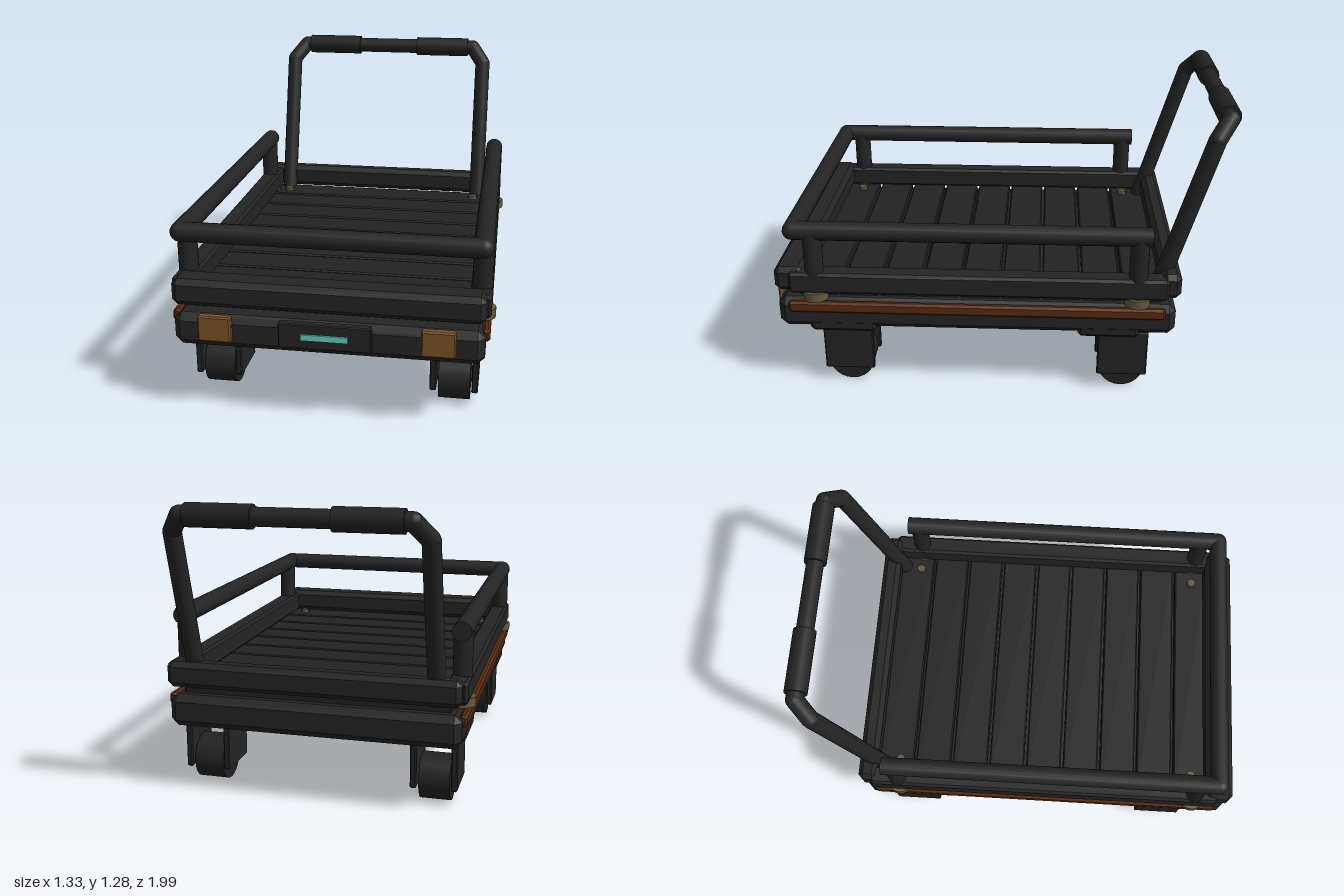
import * as THREE from 'three';
import { ConvexGeometry } from 'three/addons/geometries/ConvexGeometry.js';

const mat = (name, color) => {
  const m = new THREE.MeshStandardMaterial({ color });
  m.name = name;
  return m;
};

// Box with chamfered edges and corners
function chamferBox(w, h, d, b) {
  const pts = [];
  for (const x of [-1, 1]) for (const y of [-1, 1]) for (const z of [-1, 1]) {
    const X = w / 2, Y = h / 2, Z = d / 2;
    pts.push(
      new THREE.Vector3(x * X, y * (Y - b), z * (Z - b)),
      new THREE.Vector3(x * (X - b), y * Y, z * (Z - b)),
      new THREE.Vector3(x * (X - b), y * (Y - b), z * Z));
  }
  return new ConvexGeometry(pts);
}

export function createModel() {
  const group = new THREE.Group();
  const black = mat('black metal', 0x242424);
  const deckMat = mat('dark deck', 0x222222);
  const rubber = mat('rubber', 0x222222);
  const rust = mat('rust orange', 0x5a2a0d);
  const amber = mat('amber', 0x7a5226);
  const brass = mat('dull brass', 0x625a3e);
  const teal = mat('teal glow', 0x5fd3bf);

  const add = (name, geo, m, x, y, z) => {
    const mesh = new THREE.Mesh(geo, m);
    mesh.name = name;
    mesh.position.set(x, y, z);
    group.add(mesh);
    return mesh;
  };
  // Chamfered box given by its min and max on each axis
  const block = (name, m, [x0, x1], [y0, y1], [z0, z1], b = 0.008) =>
    add(name, chamferBox(x1 - x0, y1 - y0, z1 - z0, b), m,
      (x0 + x1) / 2, (y0 + y1) / 2, (z0 + z1) / 2);
  // Cylinder between two points
  const rod = (name, m, a, b, r) => {
    const A = new THREE.Vector3(...a), B = new THREE.Vector3(...b);
    const dir = B.clone().sub(A);
    const mesh = add(name, new THREE.CylinderGeometry(r, r, dir.length(), 16), m, 0, 0, 0);
    mesh.position.copy(A).add(B).multiplyScalar(0.5);
    mesh.quaternion.setFromUnitVectors(new THREE.Vector3(0, 1, 0), dir.normalize());
    return mesh;
  };
  const ball = (name, m, p, r) => add(name, new THREE.SphereGeometry(r, 16, 10), m, ...p);

  // Chassis and deck planks
  block('chassis', black, [-0.63, 0.63], [0.295, 0.437], [-0.77, 0.96], 0.03);
  const pitch = 0.1765;
  for (let i = 0; i < 9; i++) {
    const z = -0.628 + i * pitch;
    block('deckPlank', deckMat, [-0.58, 0.58], [0.43, 0.477], [z - 0.083, z + 0.083], 0.006);
  }

  // Raised deck frame
  block('frontFrameRail', black, [-0.63, 0.63], [0.475, 0.587], [0.84, 0.967], 0.022);
  block('backFrameRail', black, [-0.63, 0.63], [0.475, 0.587], [-0.785, -0.7], 0.022);

  // Guard rail across the front
  const railY = 0.76, railX = 0.607, railZ = 0.872, railR = 0.041;
  rod('frontGuardRail', black, [-railX, railY, railZ], [railX, railY, railZ], railR);

  for (const s of [-1, 1]) {
    const span = (a, b) => (s > 0 ? [a, b] : [-b, -a]);
    block('sideFrameRail', black, span(0.56, 0.648), [0.475, 0.572], [-0.73, 0.9], 0.012);
    block('sideStripe', rust, span(0.615, 0.647), [0.38, 0.432], [-0.722, 0.908], 0.01);

    // Side guard rail with posts and collars
    rod('sideGuardRail', black, [s * railX, railY, railZ], [s * railX, railY, -0.65], railR);
    ball('guardRailCorner', black, [s * railX, railY, railZ], railR);
    for (const z of [0.79, -0.6]) {
      rod('guardPost', black, [s * railX, 0.44, z], [s * railX, railY, z], railR);
      add('postCollar', new THREE.CylinderGeometry(0.054, 0.054, 0.04, 16), brass, s * 0.61, 0.461, z);
    }

    // Deck bolts
    for (const z of [0.783, -0.605])
      add('deckBolt', new THREE.CylinderGeometry(0.021, 0.021, 0.02, 8), brass, s * 0.503, 0.484, z);

    // Push handle side
    const base = [s * 0.52, 0.47, -0.692], knee = [s * 0.52, 1.16, -0.895];
    const top = [s * 0.462, 1.234, -0.952];
    rod('handleLeg', black, base, knee, 0.038);
    ball('handleKnee', black, knee, 0.038);
    rod('handleBend', black, knee, top, 0.038);
    ball('handleCorner', black, top, 0.038);
    rod('handleGrip', rubber, [s * 0.157, 1.234, -0.952], [s * 0.435, 1.234, -0.952], 0.049);

    // Front lamp
    block('lamp', amber, span(0.382, 0.518), [0.335, 0.445], [0.95, 0.985], 0.006);

    // Casters: mount plate, fork plates, axle, wheel
    for (const [z, plate] of [[0.665, [0.535, 0.825]], [-0.55, [-0.615, -0.35]]]) {
      block('casterPlate', black, span(0.377, 0.628), [0.278, 0.343], plate, 0.015);
      for (const x of [0.403, 0.577])
        block('casterFork', black, span(x, x + 0.027), [0.075, 0.29], [z - 0.11, z + 0.11], 0.005);
      rod('axle', black, [s * 0.41, 0.1, z], [s * 0.598, 0.1, z], 0.025);
      rod('wheel', rubber, [s * 0.438, 0.1, z], [s * 0.57, 0.1, z], 0.1).geometry =
        new THREE.CylinderGeometry(0.1, 0.1, 0.132, 24);
    }
  }

  // Handle crossbar
  rod('handleCrossbar', black, [-0.465, 1.234, -0.952], [0.465, 1.234, -0.952], 0.038);

  // Front panel with light strip
  block('frontPanel', black, [-0.187, 0.187], [0.333, 0.44], [0.95, 0.985], 0.004);
  add('lightStrip', new THREE.BoxGeometry(0.19, 0.025, 0.009), teal, 0, 0.386, 0.988);

  return group;
}
